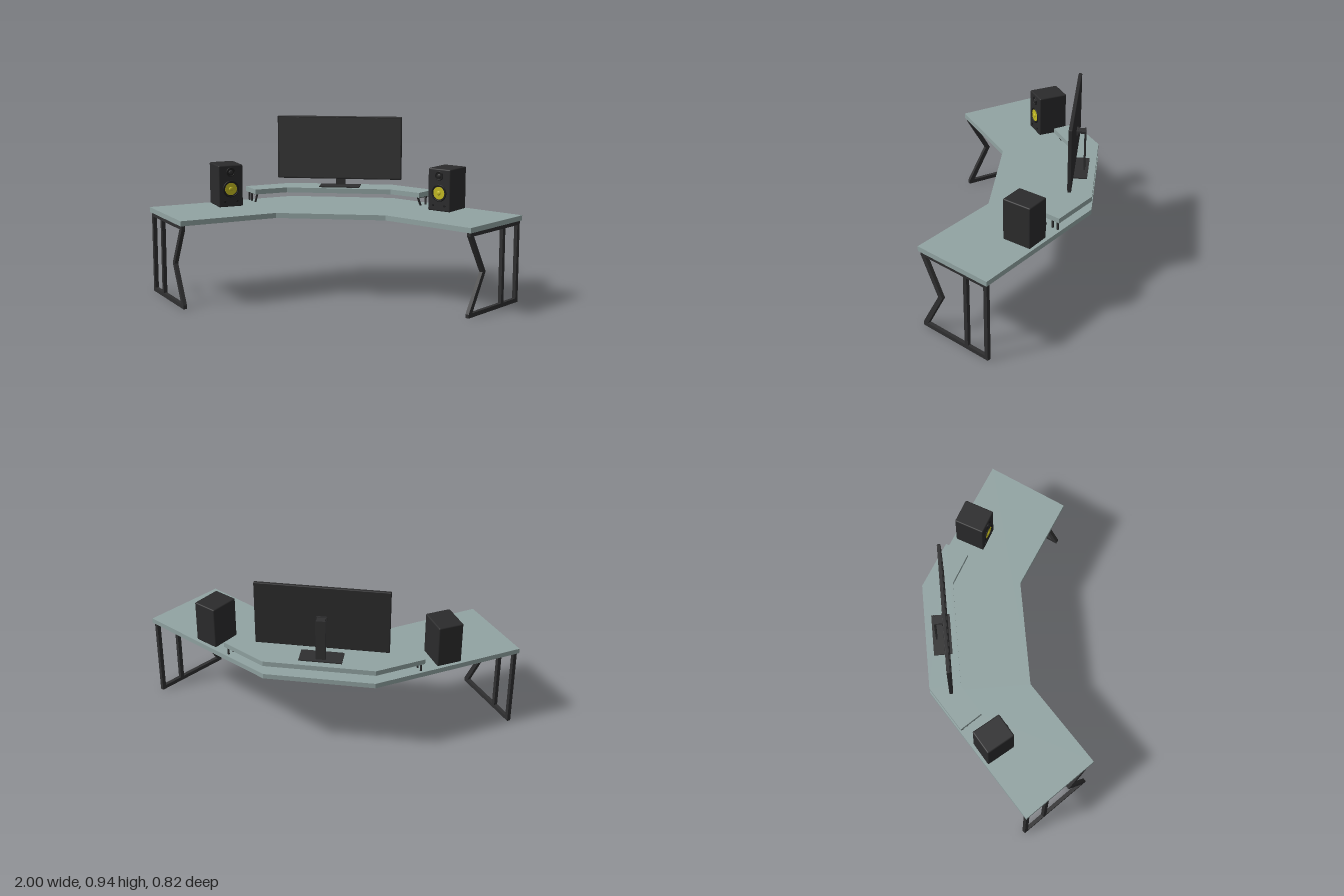
import * as THREE from 'three';
import { RoundedBoxGeometry } from 'three/addons/geometries/RoundedBoxGeometry.js';

const material = (name, color) => Object.assign(new THREE.MeshStandardMaterial({ color }), { name });

export function createModel() {
  const mats = {
    top: material('greyGreenTop', 0x91a3a2),
    metal: material('darkMetal', 0x2f2f30),
    body: material('blackPlastic', 0x2b2b2c),
    screen: material('screenGrey', 0x363637),
    cone: material('yellowCone', 0xc4bb22),
    trim: material('blackTrim', 0x1c1c1d),
  };
  const model = new THREE.Group();
  model.name = 'cornerDesk';

  const add = (parent, name, geometry, mat, x = 0, y = 0, z = 0) => {
    const mesh = new THREE.Mesh(geometry, mat);
    mesh.name = name;
    mesh.position.set(x, y, z);
    parent.add(mesh);
    return mesh;
  };
  const box = (parent, name, mat, w, h, d, x, y, z) =>
    add(parent, name, new THREE.BoxGeometry(w, h, d), mat, x, y, z);
  const points = (list) => list.map(([x, y]) => new THREE.Vector2(x, y));

  // Horizontal slab from the right half of its plan (x, z), mirrored to the left
  const slab = (name, half, bottom, height) => {
    const plan = [...half, ...half.slice().reverse().map(([x, z]) => [-x, z])];
    const shape = new THREE.Shape(points(plan.map(([x, z]) => [x, -z])));
    const geometry = new THREE.ExtrudeGeometry(shape, { depth: height, bevelEnabled: false });
    geometry.rotateX(-Math.PI / 2);
    add(model, name, geometry, mats.top, 0, bottom, 0);
  };
  slab('deskTop', [[0.29, -0.411], [1, 0.03], [0.735, 0.405], [0.29, 0.12]], 0.44, 0.027);
  slab('riserShelf', [[0.29, -0.411], [0.525, -0.265], [0.45, -0.152], [0.29, -0.246]], 0.516, 0.027);

  // Flat welded frame, cut from an outline with holes and stood along a desk end
  const frame = (name, side, outline, holes, thickness, x, y, z) => {
    const shape = new THREE.Shape(points(outline));
    for (const hole of holes) shape.holes.push(new THREE.Path(points(hole)));
    const geometry = new THREE.ExtrudeGeometry(shape, { depth: thickness, bevelEnabled: false });
    geometry.translate(0, 0, -thickness / 2);
    const mesh = add(model, name, geometry, mats.metal, side * x, y, z);
    mesh.rotation.y = Math.atan2(-0.817, -0.577 * side);
  };

  for (const side of [-1, 1]) {
    const label = side > 0 ? 'left' : 'right';

    // Desk leg with two posts and a bent front bar
    frame(label + 'LegFrame', side,
      [[0, 0], [0.442, 0], [0.442, 0.02], [0.33, 0.22], [0.442, 0.42], [0.442, 0.44], [0, 0.44]],
      [
        [[0.022, 0.022], [0.022, 0.418], [0.133, 0.418], [0.133, 0.022]],
        [[0.155, 0.022], [0.155, 0.418], [0.411, 0.418], [0.302, 0.22], [0.411, 0.022]],
      ], 0.02, 0.98, 0, 0.026);

    // Riser support with two posts and one slanted bar
    frame(label + 'RiserSupport', side,
      [[0, 0], [0.083, 0], [0.113, 0.057], [0, 0.057]],
      [
        [[0.008, 0.006], [0.008, 0.05], [0.033, 0.05], [0.033, 0.006]],
        [[0.041, 0.006], [0.041, 0.05], [0.1, 0.05], [0.077, 0.006]],
      ], 0.008, 0.506, 0.46, -0.26);

    // Loudspeaker turned toward the seat
    const speaker = new THREE.Group();
    speaker.name = label + 'Speaker';
    speaker.position.set(side * 0.603, 0.467, -0.102);
    speaker.rotation.y = -side * Math.PI / 6;
    model.add(speaker);
    add(speaker, 'cabinet', new RoundedBoxGeometry(0.137, 0.228, 0.164, 3, 0.007), mats.body, 0, 0.114, 0);
    const front = 0.082;
    const disc = (name, mat, radius, depth, x, y) => {
      const geometry = new THREE.CylinderGeometry(radius, radius, depth, 32);
      geometry.rotateX(Math.PI / 2);
      add(speaker, name, geometry, mat, x, y, front + depth / 2 - 0.001);
    };
    const ring = (name, radius, tube, y) =>
      add(speaker, name, new THREE.TorusGeometry(radius, tube, 8, 32), mats.trim, 0, y, front);
    disc('wooferSeat', mats.trim, 0.045, 0.002, 0, 0.098);
    ring('wooferRim', 0.042, 0.004, 0.098);
    disc('wooferCone', mats.cone, 0.034, 0.003, 0, 0.098);
    const cap = new THREE.SphereGeometry(0.012, 20, 10, 0, Math.PI * 2, 0, Math.PI / 2);
    cap.scale(1, 0.5, 1).rotateX(Math.PI / 2);
    add(speaker, 'wooferCap', cap, mats.cone, 0, 0.098, front + 0.002);
    disc('tweeterSeat', mats.trim, 0.024, 0.002, 0, 0.19);
    ring('tweeterRim', 0.022, 0.003, 0.19);
    const dome = new THREE.SphereGeometry(0.012, 20, 10, 0, Math.PI * 2, 0, Math.PI / 2);
    dome.scale(1, 0.5, 1).rotateX(Math.PI / 2);
    add(speaker, 'tweeterDome', dome, mats.body, 0, 0.19, front + 0.001);
    for (const x of [-0.035, 0.035]) disc('controlKnob', mats.trim, 0.006, 0.005, x, 0.03);
  }

  // Monitor with a thin frame, screen plate and stand
  const monitor = new THREE.Group();
  monitor.name = 'monitor';
  model.add(monitor);
  add(monitor, 'monitorCase', new RoundedBoxGeometry(0.692, 0.35, 0.019, 2, 0.004), mats.body, 0, 0.765, -0.2985);
  box(monitor, 'screen', mats.screen, 0.676, 0.334, 0.002, 0, 0.765, -0.2885);
  box(monitor, 'mountPlate', mats.metal, 0.06, 0.022, 0.008, 0, 0.765, -0.311);
  box(monitor, 'standArm', mats.metal, 0.045, 0.012, 0.045, 0, 0.767, -0.33);
  box(monitor, 'standPost', mats.metal, 0.052, 0.23, 0.008, 0, 0.66, -0.353);
  box(monitor, 'standBase', mats.metal, 0.224, 0.006, 0.098, 0, 0.546, -0.325);

  return model;
}
